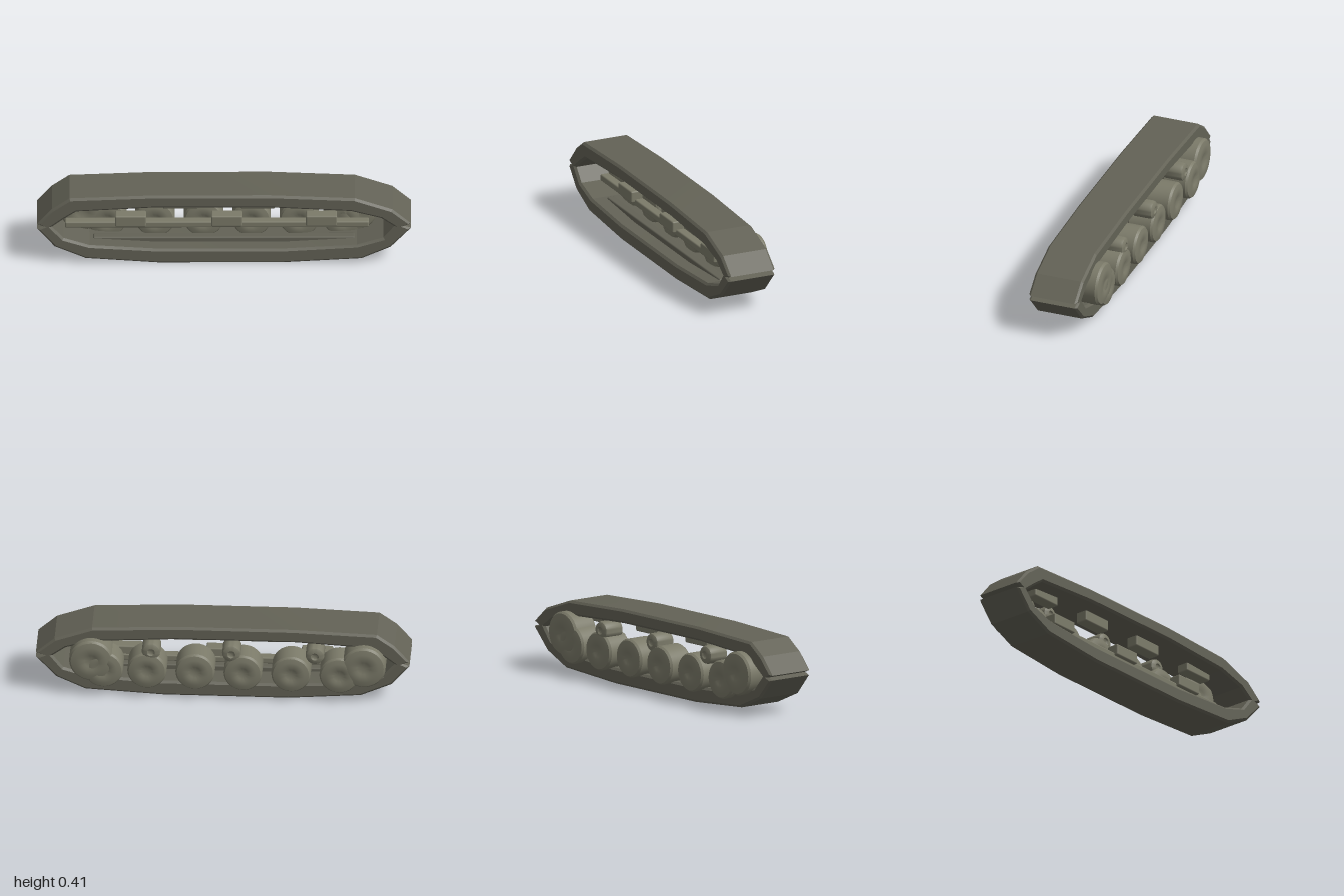
import * as THREE from 'three';
import { RoundedBoxGeometry } from 'three/addons/geometries/RoundedBoxGeometry.js';
import { toCreasedNormals } from 'three/addons/utils/BufferGeometryUtils.js';

const trackMaterial = new THREE.MeshStandardMaterial({ name: 'dark track olive', color: 0x65645a });
const wheelMaterial = new THREE.MeshStandardMaterial({ name: 'wheel olive', color: 0x7b7a69 });
trackMaterial.color.set(0x636256);

const toPoints = (list) => list.map(([x, y]) => new THREE.Vector2(x, y));

// Closed track loop, with a V notch at each end between the upper and lower runs
const OUTER = [
  [0.96, 0.224], [1, 0.238], [0.9, 0.325], [0.7, 0.394], [0.25, 0.413], [-0.38, 0.413],
  [-0.826, 0.396], [-0.92, 0.33], [-1, 0.238], [-0.965, 0.224], [-1, 0.212], [-0.905, 0.1],
  [-0.74, 0.028], [-0.355, 0], [0.32, 0], [0.735, 0.024], [0.89, 0.094], [1, 0.212],
];
const INNER = [
  [0.91, 0.222], [0.84, 0.272], [0.68, 0.315], [0.25, 0.338], [-0.39, 0.338], [-0.79, 0.315],
  [-0.85, 0.275], [-0.92, 0.222], [-0.858, 0.152], [-0.72, 0.108], [-0.355, 0.085],
  [0.33, 0.085], [0.71, 0.108], [0.853, 0.152],
];

function makeTrack() {
  const shape = new THREE.Shape(toPoints(OUTER));
  shape.holes.push(new THREE.Path(toPoints(INNER).reverse()));
  const bevel = 0.012;
  const geometry = new THREE.ExtrudeGeometry(shape, {
    depth: 0.275 - 2 * bevel, bevelEnabled: true, bevelSegments: 1,
    bevelSize: bevel, bevelThickness: bevel, bevelOffset: -bevel,
  });
  geometry.translate(0, 0, -0.11 + bevel);
  const mesh = new THREE.Mesh(toCreasedNormals(geometry, 0.2), trackMaterial);
  mesh.name = 'trackLoop';
  return mesh;
}

// Wheel turned about z: rounded rim and a slightly domed face with a shallow hub dish
function makeWheel(name, x, y, r, back, front) {
  const half = (front - back) / 2;
  const side = [[0, half - 0.009], [0.3 * r, half - 0.006], [0.42 * r, half],
    [0.7 * r, half - 0.002], [0.92 * r, half - 0.008], [r, half - 0.02]];
  const profile = [
    ...side.map(([a, h]) => [a, -h]),
    ...side.map(([a, h]) => [a, h]).reverse(),
  ];
  const geometry = new THREE.LatheGeometry(toPoints(profile), 32);
  geometry.rotateX(Math.PI / 2);
  const mesh = new THREE.Mesh(toCreasedNormals(geometry, 0.6), wheelMaterial);
  mesh.position.set(x, y, (front + back) / 2);
  mesh.name = name;
  return mesh;
}

function makeBlock(name, material, x0, x1, y0, y1, z0, z1, radius = 0.008) {
  const geometry = new RoundedBoxGeometry(x1 - x0, y1 - y0, z1 - z0, 2, radius);
  const mesh = new THREE.Mesh(geometry, material);
  mesh.position.set((x0 + x1) / 2, (y0 + y1) / 2, (z0 + z1) / 2);
  mesh.name = name;
  return mesh;
}

export function createModel() {
  const model = new THREE.Group();
  model.name = 'trackAssembly';
  model.add(makeTrack());

  // Guide ridge lying along the inside of the lower run
  model.add(makeBlock('guideRidge', trackMaterial, -0.7, 0.7, 0.075, 0.113, 0.03, 0.08));

  // Road wheels, end wheels and return rollers
  for (const x of [-0.626, -0.369, -0.11, 0.147, 0.404, 0.637]) {
    model.add(makeWheel('roadWheel', x, 0.168, 0.105, -0.162, 0));
  }
  model.add(makeWheel('rearEndWheel', -0.757, 0.22, 0.118, -0.164, 0));
  model.add(makeWheel('frontEndWheel', 0.702, 0.22, 0.118, -0.165, 0));
  for (const x of [-0.497, -0.047, 0.382]) {
    model.add(makeWheel('returnRoller', x, 0.283, 0.05, -0.157, -0.03));
  }

  // Long side rail with its three brackets
  model.add(makeBlock('sideRail', wheelMaterial, -0.85, 0.775, 0.152, 0.188, -0.005, 0.048));
  for (const x of [-0.5, 0.013, 0.522]) {
    model.add(makeBlock('railBracket', wheelMaterial, x - 0.083, x + 0.083, 0.17, 0.234, 0, 0.07));
  }

  // Skid pads under the upper run
  for (const x of [-0.65, -0.235, 0.18, 0.597]) {
    model.add(makeBlock('upperPad', wheelMaterial, x - 0.093, x + 0.093, 0.28, 0.345, 0, 0.07));
  }
  return model;
}
